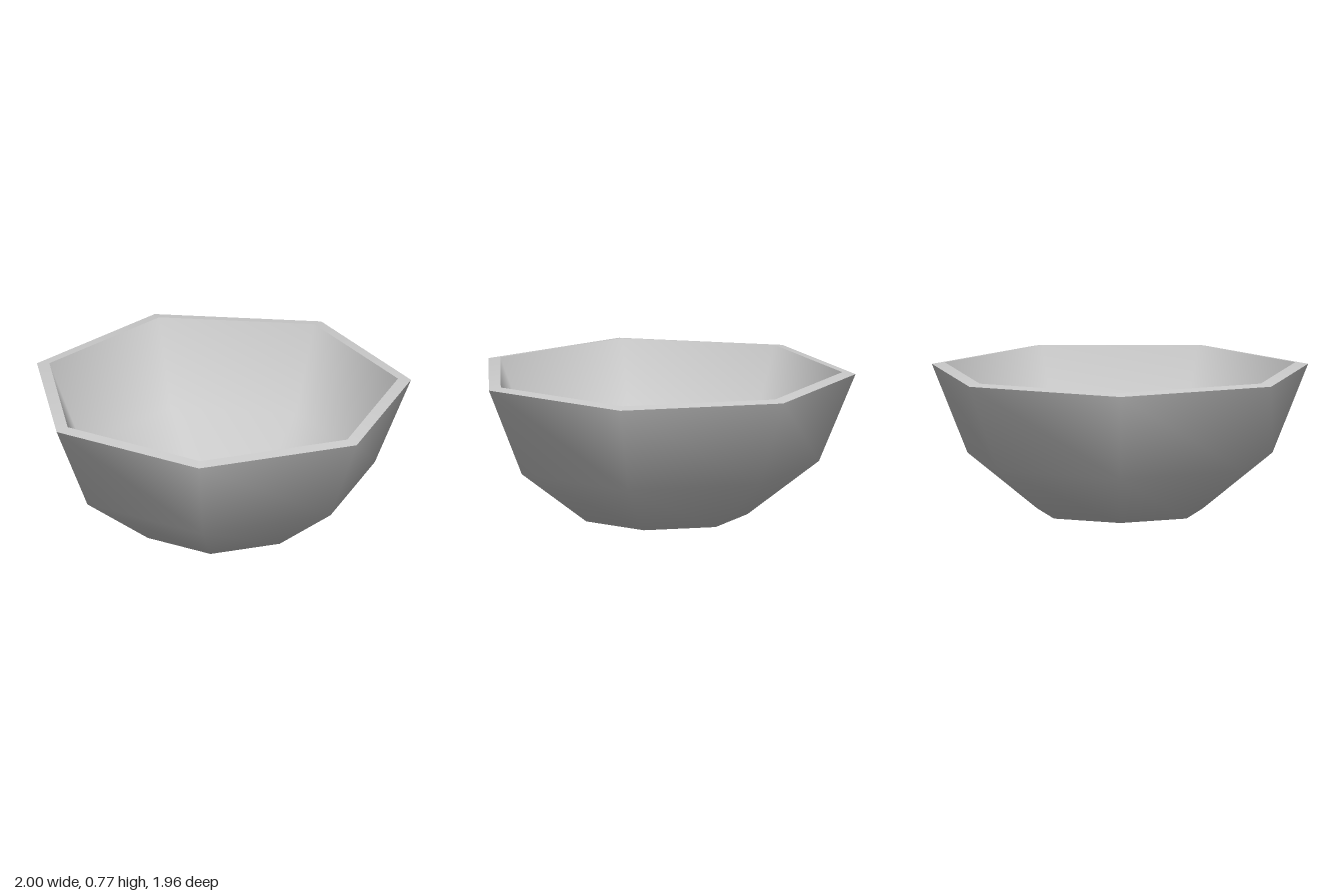
import * as THREE from 'three';

export function createModel() {
  const bowl = new THREE.Group();
  bowl.name = 'bowl';

  const grey = new THREE.MeshStandardMaterial({ color: 0xcccccc });
  grey.name = 'light grey';

  // Seven-sided turned shell, one corner pointing almost straight back
  const SIDES = 7;
  const START = Math.PI - 0.0215;
  const addShell = (name, profile) => {
    const points = profile.map(([r, y]) => new THREE.Vector2(r, y));
    const mesh = new THREE.Mesh(new THREE.LatheGeometry(points, SIDES, START), grey);
    mesh.name = name;
    mesh.position.set(0.004, 0, 0.04);
    bowl.add(mesh);
  };

  const outerRim = [1.024, 0.757];
  const innerRim = [0.954, 0.768];

  // Outside, from the centre of the base up to the rim
  addShell('outerWall', [[0, 0], [0.45, 0], [0.83, 0.288], outerRim]);
  // Narrow rim, sloping slightly outward
  addShell('rim', [outerRim, innerRim]);
  // Inside, from the rim down to the floor
  addShell('innerWall', [innerRim, [0.77, 0.32], [0.42, 0.06], [0, 0.06]]);

  return bowl;
}
